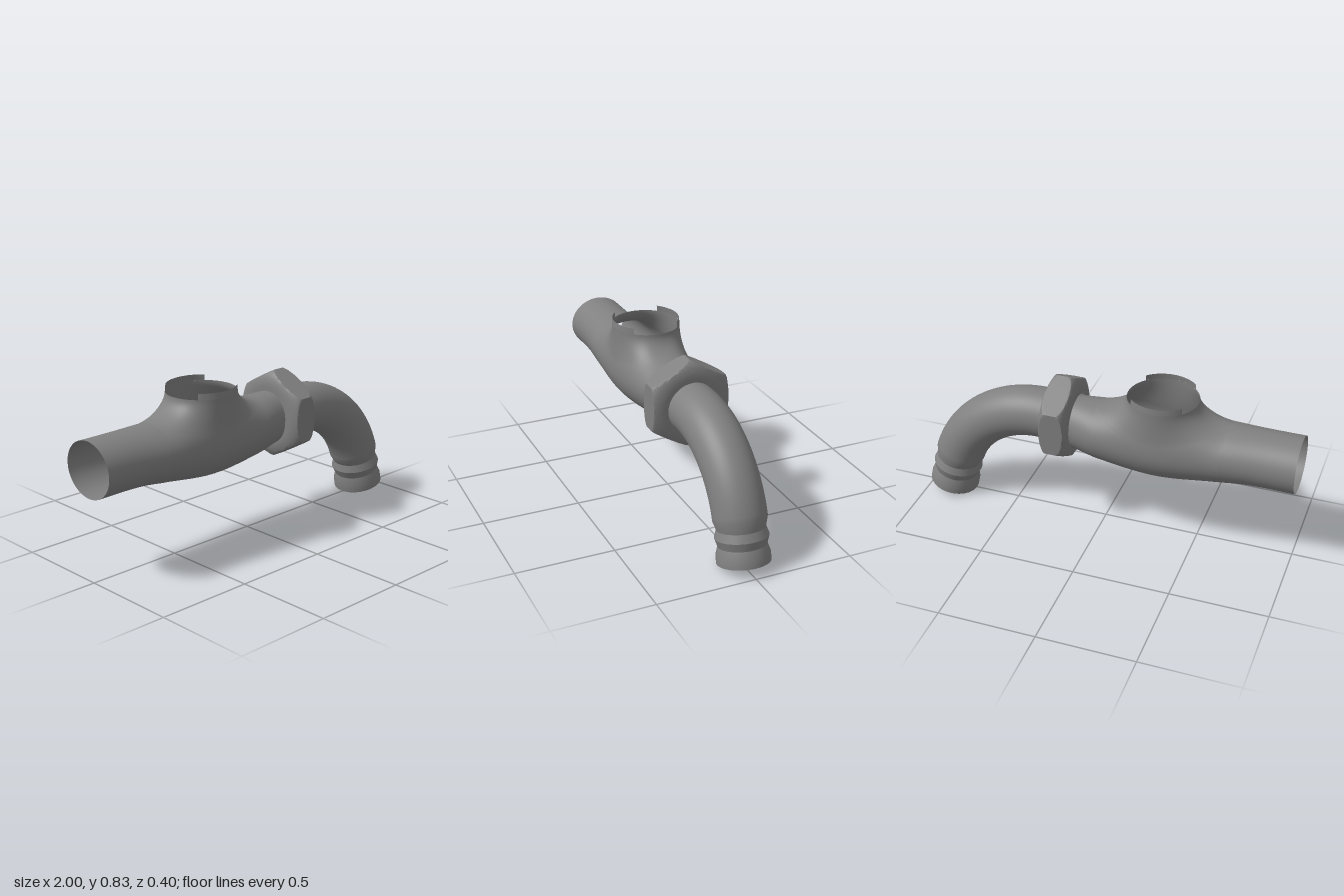
import * as THREE from 'three';
import { mergeVertices, mergeGeometries, toCreasedNormals } from 'three/addons/utils/BufferGeometryUtils.js';

const material = new THREE.MeshStandardMaterial({ color: 0x808080, side: THREE.DoubleSide });

// Grid surface from point(i, j) -> [x, y, z]
function grid(rows, cols, point) {
  const pos = [], index = [];
  for (let i = 0; i <= rows; i++) {
    for (let j = 0; j <= cols; j++) {
      pos.push(...point(i, j));
      if (i < rows && j < cols) {
        const a = i * (cols + 1) + j, b = a + cols + 1;
        index.push(a, b, a + 1, b, b + 1, a + 1);
      }
    }
  }
  const g = new THREE.BufferGeometry();
  g.setAttribute('position', new THREE.Float32BufferAttribute(pos, 3));
  g.setIndex(index);
  return g;
}

// Smooth interpolation through [x, value] pairs
function smooth(table, x) {
  let k = 0;
  while (k < table.length - 2 && x > table[k + 1][0]) k++;
  const slope = (i) => {
    if (i === 0 || i === table.length - 1) return 0;
    return (table[i + 1][1] - table[i - 1][1]) / (table[i + 1][0] - table[i - 1][0]);
  };
  const [x0, a] = table[k], [x1, b] = table[k + 1];
  const h = x1 - x0, t = (x - x0) / h, t2 = t * t, t3 = t2 * t;
  return a * (2 * t3 - 3 * t2 + 1) + b * (3 * t2 - 2 * t3)
    + h * slope(k) * (t3 - 2 * t2 + t) + h * slope(k + 1) * (t3 - t2);
}

function add(group, name, geometry) {
  const mesh = new THREE.Mesh(geometry, material);
  mesh.name = name;
  group.add(mesh);
  return mesh;
}

// Swollen valve body with a neck blended into its top
const CX = -0.3, MID = 0.56, RIM_Y = 0.8;
const FOOT_X = 0.34, FOOT_Z = 0.187, RIM_X = 0.18, RIM_Z = 0.174;
const halfWidth = [[-1, 0.155], [-0.8, 0.157], [-0.6, 0.174], [-0.3, 0.193], [0, 0.168], [0.15, 0.133], [0.22, 0.13]];
const depth = [[-1, 0.14], [-0.75, 0.14], [-0.6, 0.157], [-0.3, 0.19], [0, 0.162], [0.15, 0.135], [0.22, 0.13]];

// Height of the upper half, raised into shoulders around the neck
const rise = (x) => 0.14 + 0.1 * Math.max(0, 1 - ((x - CX) / FOOT_X) ** 2) ** 2;
const topY = (x, z) => MID + rise(x) * Math.sqrt(Math.max(0, 1 - (z / smooth(halfWidth, x)) ** 2));

function bodyGeometry() {
  const N = 32;
  const stations = [];
  for (let i = 0; i < 14; i++) stations.push([-1 + (CX - FOOT_X + 1) * i / 14, 0]);
  for (let i = 0; i <= N; i++) {
    const f = Math.PI * (1 - i / N);
    stations.push([CX + FOOT_X * Math.cos(f), FOOT_Z * Math.sin(f)]);
  }
  for (let i = 1; i <= 10; i++) {
    const x0 = CX + FOOT_X;
    stations.push([x0 + (0.22 - x0) * i / 10, 0]);
  }
  // Each section stops at the edge of the neck's footprint
  const tube = grid(stations.length - 1, 56, (i, j) => {
    const [x, edge] = stations[i];
    const w = smooth(halfWidth, x);
    const a = (j / 28 - 1) * (Math.PI - Math.asin(Math.min(1, edge / w)));
    const h = Math.cos(a) > 0 ? smooth(depth, x) : rise(x);
    return [x, MID - h * Math.cos(a), w * Math.sin(a)];
  });
  // Fillet leaving the body along its slope and ending upright at the rim
  const neck = grid(14, 2 * N, (i, j) => {
    const f = j / N * Math.PI, t = i / 14 * Math.PI / 2;
    const c = Math.cos(f), s = Math.sin(f), e = 0.01;
    const x = CX + FOOT_X * c, z = FOOT_Z * s;
    const dx = (RIM_X - FOOT_X) * c, dz = (RIM_Z - FOOT_Z) * s;
    const y = topY(x, z);
    const bendY = Math.min(0.72, y + (topY(x + dx * e, z + dz * e) - y) / e);
    const out = 1 - Math.sin(t), up = 1 - Math.cos(t);
    return [
      x + dx * (1 - out),
      bendY + (y - bendY) * out + (RIM_Y - bendY) * up,
      z + dz * (1 - out),
    ];
  });
  const g = mergeVertices(mergeGeometries([tube, neck]), 1e-4);
  g.computeVertexNormals();
  return g;
}

// Sweep of rings { x, y, a: downward angle, r: radius function }
function sweep(rings, sides, crease) {
  const g = grid(rings.length - 1, sides, (i, j) => {
    const { x, y, a, r } = rings[i];
    const f = (j % sides) / sides * Math.PI * 2, k = r(f);
    const n = k * Math.cos(f);
    return [x + n * Math.sin(a), y + n * Math.cos(a), -k * Math.sin(f)];
  });
  return toCreasedNormals(g, crease);
}

// Hexagonal nut with strongly rounded faces that cut its flats into lens shapes
function nutGeometry() {
  const x0 = 0.15, x1 = 0.3, round = 0.055, flat = 0.2;
  const profile = [[0, 0.125]];
  for (let i = 0; i <= 14; i++) {
    const t = i / 14 * Math.PI / 2;
    profile.push([round * (1 - Math.cos(t)), 0.145 + 0.087 * Math.sin(t)]);
  }
  const ring = (x, cap) => ({
    x, y: 0.578, a: 0,
    r: (f) => {
      const sector = Math.PI / 3;
      const local = (f % sector) - sector / 2;
      return Math.min(cap, flat / Math.cos(local));
    },
  });
  const rings = profile.map(([d, r]) => ring(x0 + d, r));
  rings.push(...profile.map(([d, r]) => ring(x1 - d, r)).reverse());
  return sweep(rings, 180, 0.6);
}

// Bent outlet pipe with a grooved, thin-walled end
function outletGeometry() {
  const start = 0.35, y0 = 0.572, R = 0.5, bend = 1.344, tail = 0.159;
  const lead = 0.15, end = R * bend + tail;
  const at = (s, radius) => {
    const a = Math.min(Math.max(s / R, 0), bend);
    const extra = s < 0 ? s : Math.max(0, s - R * bend);
    return {
      x: start + R * Math.sin(a) + extra * Math.cos(a),
      y: y0 - R * (1 - Math.cos(a)) - extra * Math.sin(a),
      a, r: () => radius,
    };
  };
  const rings = [at(-lead, 0.13)];
  for (let i = 0; i < 28; i++) rings.push(at((end - 0.21) * i / 28, 0.13));
  // Outer beads and lip, then the inner wall following them (distance from the end, radius)
  const outer = [[0.21, 0.13], [0.165, 0.117], [0.125, 0.13], [0.083, 0.117], [0.04, 0.13], [0, 0.13]];
  for (const [d, r] of outer) rings.push(at(end - d, r));
  for (const [d, r] of outer.reverse()) rings.push(at(end - d, r - 0.012));
  for (let i = 1; i <= 20; i++) rings.push(at((end - 0.21) * (1 - i / 20), 0.118));
  return sweep(rings, 56, 0.4);
}

export function createModel() {
  const group = new THREE.Group();
  group.name = 'valveFitting';

  const valve = new THREE.Group();
  valve.name = 'valveBody';
  valve.position.z = -0.009;
  add(valve, 'bodyWithNeck', bodyGeometry());

  // Two raised tabs on the neck's rim
  const half = Math.asin(0.13 / RIM_X);
  for (const side of [0, Math.PI]) {
    const tab = add(valve, side ? 'backRimTab' : 'frontRimTab',
      new THREE.CylinderGeometry(0.177, RIM_X, 0.03, 20, 1, true, side - half, 2 * half));
    tab.position.set(CX, RIM_Y + 0.015, 0);
    tab.scale.z = RIM_Z / RIM_X;
  }
  group.add(valve);

  add(group, 'hexNut', nutGeometry());
  add(group, 'outletPipe', outletGeometry());
  return group;
}
